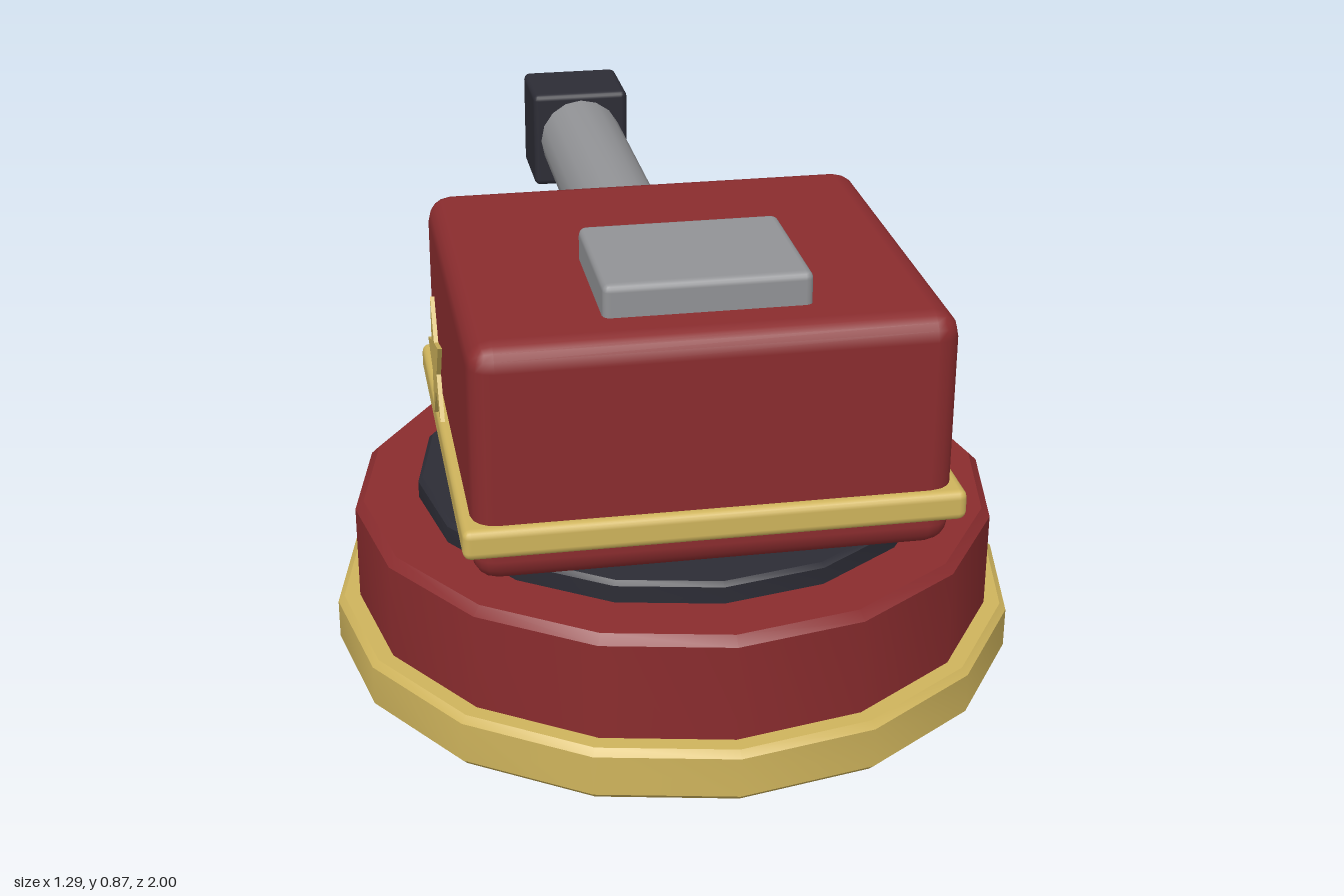
import * as THREE from 'three';
import { toCreasedNormals } from 'three/addons/utils/BufferGeometryUtils.js';
import { RoundedBoxGeometry } from 'three/addons/geometries/RoundedBoxGeometry.js';

function material(name, color) {
  const m = new THREE.MeshStandardMaterial({ color });
  m.name = name;
  return m;
}

export function createModel() {
  const red = material('deep red', 0x8a2c2e);
  const gold = material('gold', 0xcfb45c);
  const grey = material('steel grey', 0x929396);
  const dark = material('charcoal', 0x2c2c35);
  const model = new THREE.Group();
  model.name = 'turret';

  const add = (name, geometry, mat, x, y, z) => {
    const mesh = new THREE.Mesh(geometry, mat);
    mesh.name = name;
    mesh.position.set(x, y, z);
    model.add(mesh);
    return mesh;
  };

  // Sixteen-sided disc with bevelled rims, rising from y = 0
  const disc = (radius, height, bevel) => {
    const profile = [
      [0, 0], [radius - bevel, 0], [radius, bevel],
      [radius, height - bevel], [radius - bevel, height], [0, height],
    ].map(([r, y]) => new THREE.Vector2(r, y));
    return toCreasedNormals(new THREE.LatheGeometry(profile, 16), 0.6);
  };

  // Rounded box given by its extents
  const box = (name, mat, [x0, x1], [y0, y1], [z0, z1], radius) => add(
    name, new RoundedBoxGeometry(x1 - x0, y1 - y0, z1 - z0, 2, radius), mat,
    (x0 + x1) / 2, (y0 + y1) / 2, (z0 + z1) / 2);

  // Round base, trim ring and turntable
  const baseZ = 0.352;
  add('base', disc(0.605, 0.325, 0.016), red, 0, 0, baseZ);
  add('baseTrim', disc(0.647, 0.1, 0.012), gold, 0, 0.026, baseZ);
  add('turntable', disc(0.485, 0.05, 0.008), dark, 0, 0.315, baseZ);

  // Housing with belt and roof hatch
  box('housing', red, [-0.424, 0.424], [0.363, 0.806], [0.003, 0.777], 0.045);
  box('belt', gold, [-0.443, 0.443], [0.423, 0.48], [-0.015, 0.795], 0.015);
  box('hatch', grey, [-0.183, 0.183], [0.79, 0.865], [0.39, 0.68], 0.014);

  // Barrel pointing backwards, with collar and square muzzle
  const barrelY = 0.617;
  add('barrelCollar', disc(0.143, 0.075, 0.012), red, 0, barrelY, 0.02).rotation.x = -Math.PI / 2;
  add('barrel', disc(0.093, 0.87, 0.004), grey, 0, barrelY, 0).rotation.x = -Math.PI / 2;
  box('muzzle', dark, [-0.109, 0.109], [0.507, 0.726], [-0.998, -0.808], 0.014);

  // Five-pointed star plates on both sides, one tip towards the muzzle
  const star = new THREE.Shape();
  for (let i = 0; i < 10; i++) {
    const r = i % 2 ? 0.05 : 0.122;
    const a = (i * Math.PI) / 5;
    star[i ? 'lineTo' : 'moveTo'](r * Math.cos(a), r * Math.sin(a));
  }
  star.closePath();
  const plate = new THREE.ExtrudeGeometry(star, { depth: 0.008, bevelEnabled: false });
  plate.translate(0, 0, -0.004);
  plate.rotateY(Math.PI / 2);
  for (const side of [-1, 1]) {
    add(side > 0 ? 'leftStar' : 'rightStar', plate, gold, side * 0.445, 0.614, 0.388);
  }

  return model;
}
